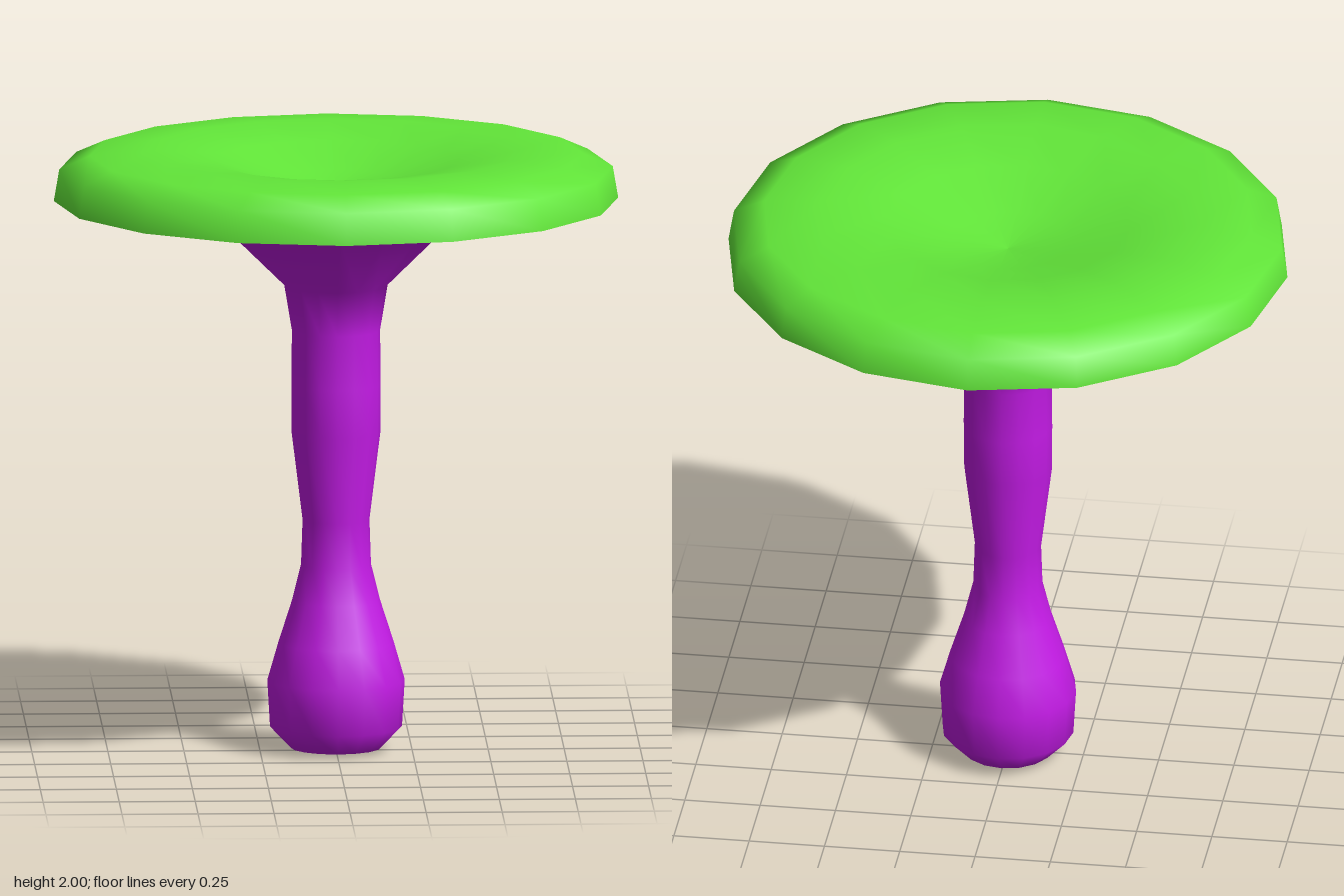
import * as THREE from 'three';

const SIDES = 16;

// Turned part from a list of [radius, height] points
function turned(name, color, points) {
  const geometry = new THREE.LatheGeometry(points.map(([r, y]) => new THREE.Vector2(r, y)), SIDES);
  const material = new THREE.MeshStandardMaterial({ color, side: THREE.DoubleSide });
  const mesh = new THREE.Mesh(geometry, material);
  mesh.name = name;
  return mesh;
}

export function createModel() {
  const mushroom = new THREE.Group();
  mushroom.name = 'mushroom';

  // Stem: bulbous foot, narrow waist, flared top
  mushroom.add(turned('stem', 0xc41be6, [
    [0, 0], [0.15, 0.01], [0.217, 0.08], [0.226, 0.235], [0.19, 0.36], [0.145, 0.5],
    [0.115, 0.62], [0.11, 0.77], [0.146, 1.06], [0.147, 1.22], [0.145, 1.4],
    [0.17, 1.55], [0.385, 1.76],
  ]));

  // Gills: sloping underside that tucks up behind the rim
  mushroom.add(turned('gills', 0xb36a12, [
    [0.385, 1.76], [0.6, 1.835], [0.76, 1.875], [0.86, 1.885], [0.885, 1.835],
  ]));

  // Rim: narrow flat lip around the underside
  mushroom.add(turned('rim', 0x0a0a8c, [[0.885, 1.835], [0.928, 1.835]]));

  // Cap: rounded edge with a shallow dip in the middle
  mushroom.add(turned('cap', 0x62e639, [
    [0.928, 1.835], [0.91, 1.94], [0.81, 1.985], [0.62, 2.0],
    [0.4, 1.965], [0.2, 1.9], [0, 1.87],
  ]));

  return mushroom;
}
